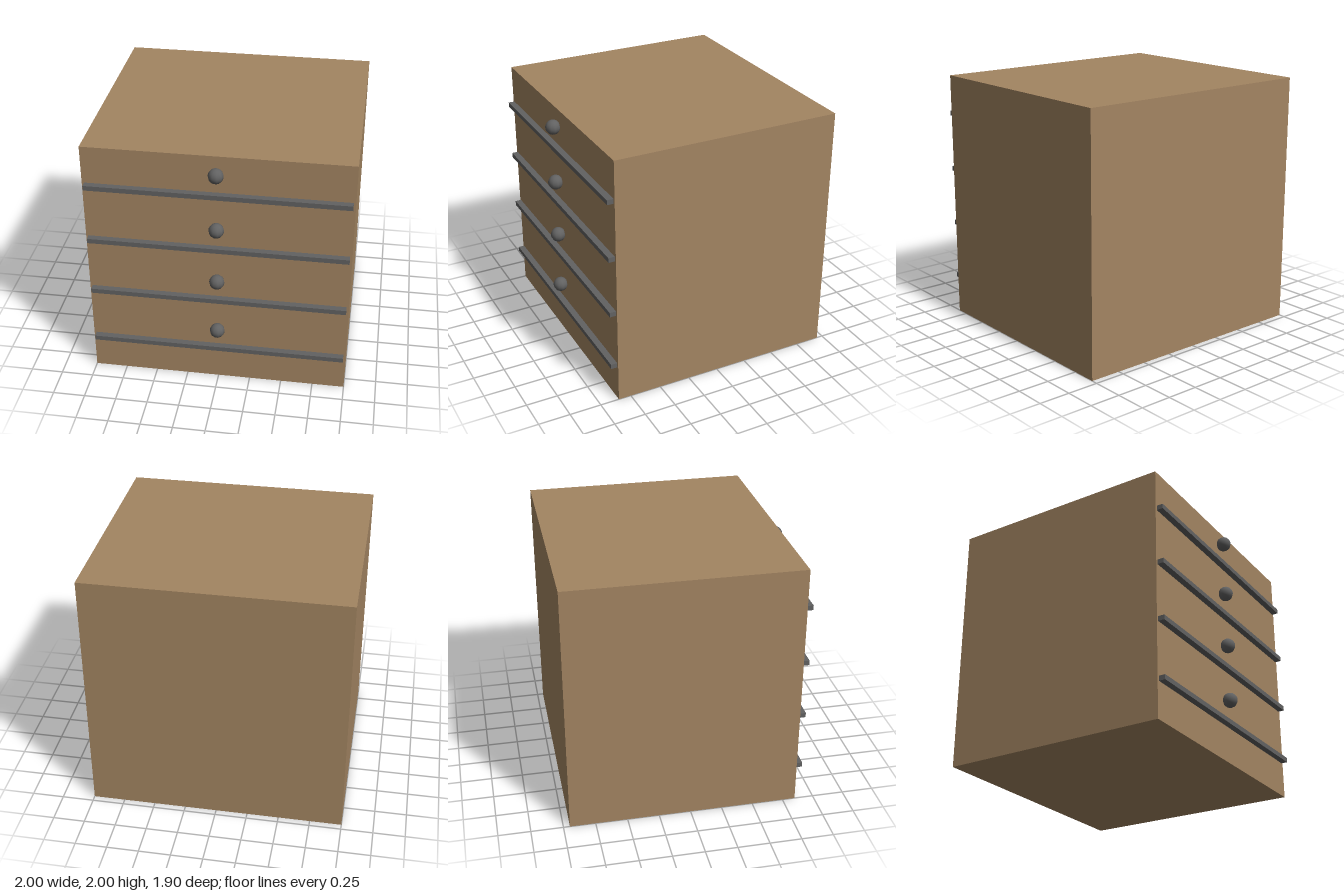
import * as THREE from 'three';

export function createModel() {
  const group = new THREE.Group();
  const wood = new THREE.MeshStandardMaterial({ color: 0xa38562 });
  const metal = new THREE.MeshStandardMaterial({ color: 0x626262 });

  const add = (name, geometry, material, x, y, z) => {
    const mesh = new THREE.Mesh(geometry, material);
    mesh.name = name;
    mesh.position.set(x, y, z);
    group.add(mesh);
  };

  // Cabinet body
  add('cabinetBody', new THREE.BoxGeometry(2, 2, 1.8), wood, 0, 1, -0.05);

  // Four drawers, each with a rail below and a round knob above it
  const rail = new THREE.BoxGeometry(1.965, 0.038, 0.1);
  const knob = new THREE.SphereGeometry(0.058, 10, 10);
  for (let i = 0; i < 4; i++) {
    const y = 0.305 + i * 0.46;
    add(`drawerRail${i + 1}`, rail, metal, 0, y, 0.85);
    add(`drawerKnob${i + 1}`, knob, metal, 0, y + 0.18, 0.894);
  }
  return group;
}
